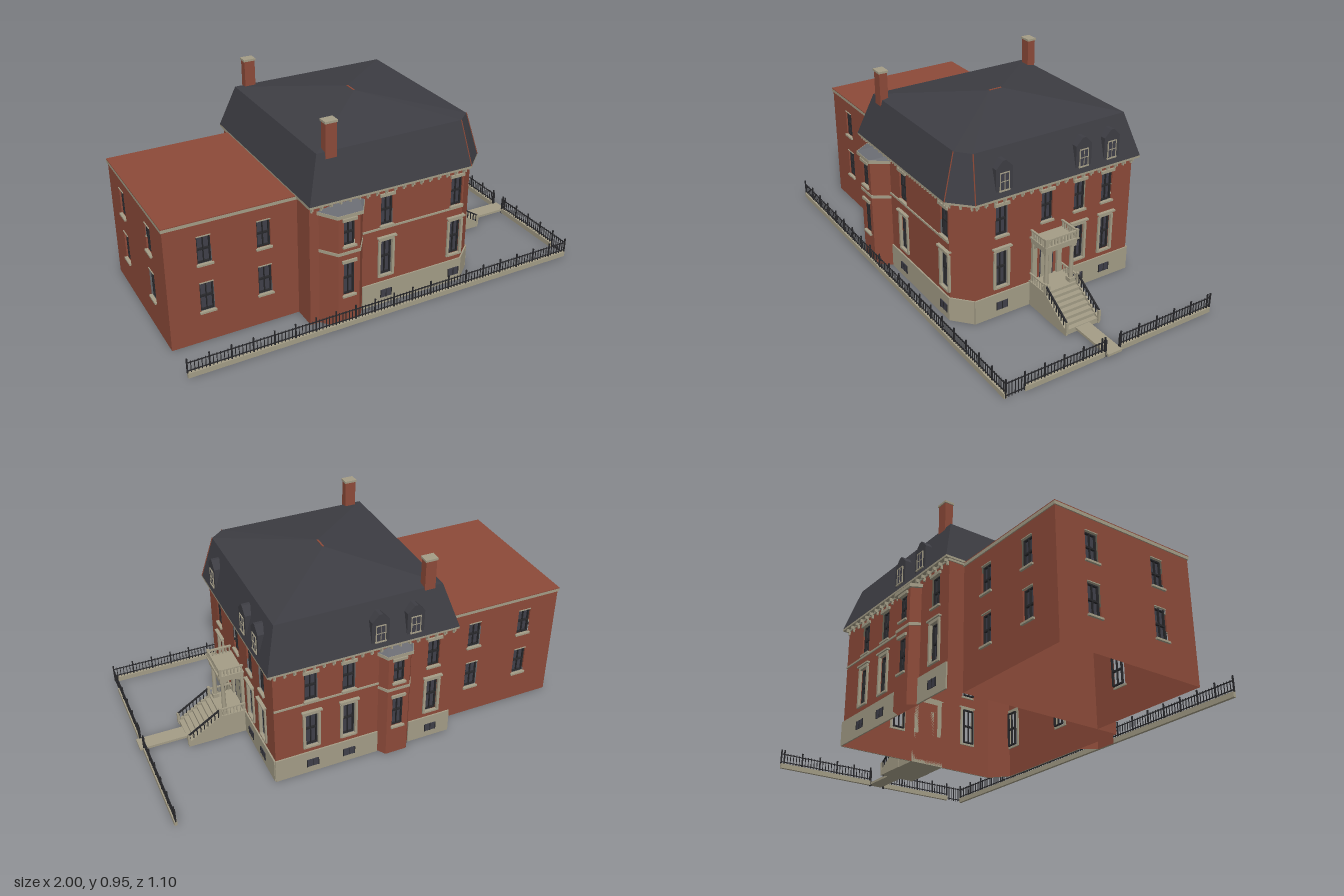
import * as THREE from 'three';
import { mergeGeometries } from 'three/addons/utils/BufferGeometryUtils.js';

const mat = (name, color, side = THREE.FrontSide) => {
  const m = new THREE.MeshStandardMaterial({ color, side });
  m.name = name;
  return m;
};

export function createModel() {
  const root = new THREE.Group();
  root.name = 'mansardHouse';
  const brick = mat('brick', 0x8c4a39, THREE.DoubleSide);
  const stone = mat('stone', 0xa39c86);
  const slate = mat('slate', 0x3d3d43);
  const glass = mat('glass', 0x3f3f49);
  const iron = mat('iron', 0x28282b);
  const lead = mat('lead', 0x6a6c72);

  const add = (parent, name, geo, m) => {
    const mesh = new THREE.Mesh(geo, m);
    mesh.name = name;
    parent.add(mesh);
    return mesh;
  };
  const boxGeo = (w, h, d, x, y, z) => new THREE.BoxGeometry(w, h, d).translate(x, y, z);
  // box given by its limits on each axis
  const span = (x0, x1, y0, y1, z0, z1) =>
    boxGeo(x1 - x0, y1 - y0, z1 - z0, (x0 + x1) / 2, (y0 + y1) / 2, (z0 + z1) / 2);
  const rect = (T, x0, x1, y0, y1) =>
    new T().moveTo(x0, y0).lineTo(x1, y0).lineTo(x1, y1).lineTo(x0, y1).closePath();
  const poly = (pts) => new THREE.Shape(pts.map(([x, y]) => new THREE.Vector2(x, y)));
  // upright prism on a plan of [x, z] points
  const prism = (plan, y0, y1) =>
    new THREE.ExtrudeGeometry(poly(plan.map(([x, z]) => [x, -z])), { depth: y1 - y0, bevelEnabled: false })
      .rotateX(-Math.PI / 2).translate(0, y0, 0);
  // sloped faces between two plans, anticlockwise seen from above
  const loft = (lower, y0, upper, y1) => {
    const p = [];
    lower.forEach((a, i) => {
      const j = (i + 1) % lower.length, b = lower[j], c = upper[j], d = upper[i];
      p.push(a[0], y0, a[1], b[0], y0, b[1], c[0], y1, c[1], a[0], y0, a[1], c[0], y1, c[1], d[0], y1, d[1]);
    });
    const g = new THREE.BufferGeometry();
    g.setAttribute('position', new THREE.Float32BufferAttribute(p, 3));
    g.computeVertexNormals();
    return g;
  };

  // window in the local frame of a wall: recessed glass, sash bars, stone dressings
  function addWindow(g, c, [y0, y1], w, style) {
    const h = y1 - y0, l = c - w / 2, r = c + w / 2;
    add(g, 'windowGlass', new THREE.PlaneGeometry(w, h).translate(c, y0 + h / 2, -0.02), glass);
    const b = 0.006, z0 = -0.018, z1 = -0.008;
    add(g, 'windowSash', mergeGeometries([
      span(l, l + b, y0, y1, z0, z1), span(r - b, r, y0, y1, z0, z1),
      span(l, r, y1 - b, y1, z0, z1), span(l, r, y0, y0 + b, z0, z1),
      span(l, r, y0 + h / 2 - 0.004, y0 + h / 2 + 0.004, z0, z1),
      span(c - 0.0015, c + 0.0015, y0, y1, z0, z1)]), iron);
    const trim = [span(l - 0.006, r + 0.006, y0 - 0.009, y0, -0.005, 0.01)];
    if (style === 'plain') trim.push(span(l, r, y1, y1 + 0.004, -0.005, 0.004));
    else trim.push(span(l - 0.008, r + 0.008, y1, y1 + 0.014, -0.005, 0.009));
    if (style === 'grand') trim.push(
      span(l - 0.012, l, y0 - 0.009, y1, -0.005, 0.008), span(r, r + 0.012, y0 - 0.009, y1, -0.005, 0.008),
      span(l - 0.018, r + 0.018, y1 + 0.014, y1 + 0.022, -0.005, 0.016));
    add(g, 'windowTrim', mergeGeometries(trim), stone);
  }

  // wall from a to b with its outside on local +z; windows as [centre, [y0, y1], width, style]
  function wall(name, a, b, top, windows = []) {
    const g = new THREE.Group();
    g.name = name;
    g.position.set(a[0], 0, a[1]);
    g.rotation.y = Math.atan2(a[1] - b[1], b[0] - a[0]);
    const len = Math.hypot(b[0] - a[0], b[1] - a[1]);
    const s = rect(THREE.Shape, 0, len, 0, top);
    for (const [c, ys, w, style] of windows) {
      s.holes.push(rect(THREE.Path, c - w / 2, c + w / 2, ys[0], ys[1]));
      addWindow(g, c, ys, w, style);
    }
    add(g, name + 'Brick', new THREE.ShapeGeometry(s), brick);
    root.add(g);
    g.userData.length = len;
    return g;
  }

  // main block
  const UP = [0.41, 0.555], LOW = [0.153, 0.332], W = 0.06;
  const plan = [[-0.39, 0.45], [0.40, 0.45], [0.485, 0.374], [0.485, -0.47], [-0.39, -0.47]];
  const pair = (c) => [[c, UP, W, 'lintel'], [c, LOW, W, 'grand']];
  const front = wall('frontWall', plan[0], plan[1], 0.6, [-0.008, 0.362].flatMap((x) => pair(x + 0.39)));
  const corner = wall('cornerWall', plan[1], plan[2], 0.6);
  const side = wall('entranceWall', plan[2], plan[3], 0.6,
    [...[0.238, -0.178, -0.332].flatMap((z) => pair(0.374 - z)), [0.374, UP, W, 'lintel']]);
  const back = wall('backWall', plan[3], plan[4], 0.6, [0.31, 0.13, -0.29].flatMap((x) => pair(0.485 - x)));
  wall('innerEndWall', plan[4], plan[0], 0.6);

  // stone foundation with basement windows, and the belt course
  const base = (g, u0, u1, centres = []) => {
    add(g, 'foundation', span(u0, u1, 0, 0.118, 0.001, 0.008), stone);
    for (const c of centres) {
      add(g, 'basementWindow', span(c - 0.028, c + 0.028, 0.035, 0.075, 0.008, 0.011), glass);
      add(g, 'basementBars', mergeGeometries([-0.028, 0, 0.028].map((o) => boxGeo(0.003, 0.04, 0.004, c + o, 0.055, 0.011))), iron);
    }
  };
  base(front, 0.26, 0.794, [0.382, 0.752]);
  base(corner, 0, corner.userData.length);
  base(side, -0.004, 0.846, [0.136, 0.552, 0.706]);
  base(back, -0.004, 0.5, [0.175, 0.355]);
  base(back, 0.66, 0.875, [0.775]);
  add(front, 'beltCourse', span(0.26, 0.79, 0.392, 0.401, 0, 0.005), stone);
  add(back, 'beltCourse', span(0, 0.5, 0.392, 0.401, 0, 0.005), stone);

  // eaves cornice with brackets
  const eave = [[-0.40, 0.478], [0.416, 0.478], [0.513, 0.385], [0.513, -0.493], [-0.40, -0.493]];
  add(root, 'cornice', prism(eave, 0.598, 0.608), stone);
  add(root, 'frieze', prism(plan.map(([x, z]) => [x + Math.sign(x) * 0.005, z + Math.sign(z) * 0.005]), 0.588, 0.598), stone);
  for (const g of [front, corner, side, back]) {
    const n = Math.round(g.userData.length / 0.047);
    const list = [];
    for (let i = 0; i <= n; i++) {
      const u = 0.008 + (g.userData.length - 0.016) * i / n;
      list.push(boxGeo(0.007, 0.016, 0.02, u, 0.59, 0.01), boxGeo(0.007, 0.014, 0.009, u, 0.576, 0.0045));
    }
    add(g, 'corniceBrackets', mergeGeometries(list), stone);
  }

  // mansard roof
  const curb = [[-0.335, 0.415], [0.39, 0.415], [0.455, 0.36], [0.455, -0.43], [-0.335, -0.43]];
  const ridge = [[0.06, 0.03], [0.06, 0.03], [0.06, 0.03], [0.06, -0.035], [0.06, -0.035]];
  add(root, 'mansardRoof', loft(eave, 0.608, curb, 0.815), slate);
  add(root, 'upperRoof', loft(curb, 0.815, ridge, 0.885), slate);
  add(root, 'ridgeCap', boxGeo(0.008, 0.003, 0.065, 0.06, 0.885, -0.003), brick);
  for (const i of [1, 2]) {
    const a = new THREE.Vector3(eave[i][0], 0.608, eave[i][1]), b = new THREE.Vector3(curb[i][0], 0.815, curb[i][1]);
    add(root, 'hipFlashing', new THREE.TubeGeometry(new THREE.LineCurve3(a, b), 1, 0.003, 5), brick);
  }

  // dormers
  function dormer(g, c, out) {
    const d = new THREE.Group();
    d.name = 'dormer';
    d.position.set(c, 0, out);
    const outline = poly([[-0.042, 0.635], [0.042, 0.635], [0.042, 0.74], [0.008, 0.775], [-0.008, 0.775], [-0.042, 0.74]]);
    add(d, 'dormerBody', new THREE.ExtrudeGeometry(outline, { depth: 0.06, bevelEnabled: false }).translate(0, 0, -0.06), slate);
    add(d, 'dormerGlass', span(-0.022, 0.022, 0.64, 0.718, 0, 0.002), glass);
    add(d, 'dormerFrame', mergeGeometries([
      span(-0.024, -0.02, 0.637, 0.72, 0, 0.004), span(0.02, 0.024, 0.637, 0.72, 0, 0.004),
      span(-0.024, 0.024, 0.717, 0.721, 0, 0.004), span(-0.027, 0.027, 0.634, 0.64, 0, 0.006),
      span(-0.02, 0.02, 0.678, 0.681, 0, 0.004), span(-0.001, 0.001, 0.64, 0.718, 0, 0.004)]), stone);
    g.add(d);
  }
  for (const z of [0.238, -0.175, -0.33]) dormer(side, 0.374 - z, 0.02);
  for (const x of [-0.01, -0.18]) dormer(back, 0.485 - x, 0.016);

  // chimneys
  for (const z of [0.404, -0.414]) {
    add(root, 'chimney', span(-0.296, -0.244, 0.7, 0.945, z - 0.02, z + 0.02), brick);
    add(root, 'chimneyCap', span(-0.3, -0.24, 0.945, 0.955, z - 0.024, z + 0.024), stone);
  }

  // three-sided bays on the front and back
  function bay(name, p, sign) {
    const grow = (d) => p.map(([x, z], i) => [x + (i < 2 ? -sign : sign) * d, z + (i % 3 ? sign * d : 0)]);
    for (let i = 0; i < 3; i++) {
      const len = Math.hypot(p[i + 1][0] - p[i][0], p[i + 1][1] - p[i][1]);
      wall(name + 'Wall', p[i], p[i + 1], 0.55, i === 1 ? [[len / 2, [0.41, 0.53], 0.055, 'lintel'], [len / 2, [0.16, 0.325], 0.055, 'lintel']] : []);
    }
    add(root, name + 'Band', prism(grow(0.003), 0.366, 0.38), stone);
    add(root, name + 'Cornice', prism(grow(0.01), 0.55, 0.566), stone);
    const rim = grow(0.008);
    add(root, name + 'Roof', loft(rim, 0.566, rim.map(([x], i) => [x + (i < 2 ? sign : -sign) * 0.025, p[0][1]]), 0.58), lead);
  }
  bay('frontBay', [[-0.345, 0.45], [-0.29, 0.525], [-0.185, 0.525], [-0.13, 0.45]], 1);
  bay('backBay', [[-0.015, -0.47], [-0.042, -0.512], [-0.148, -0.512], [-0.175, -0.47]], -1);

  // rear wing
  const wing = (cs) => cs.flatMap((c) => [[c, [0.39, 0.52], 0.064, 'plain'], [c, [0.155, 0.295], 0.064, 'plain']]);
  wall('wingFrontWall', [-0.995, 0.335], [-0.39, 0.335], 0.59, wing([0.175, 0.445]));
  wall('wingBackWall', [-0.39, -0.393], [-0.995, -0.393], 0.59, wing([0.16, 0.43]));
  wall('wingEndWall', [-0.995, -0.393], [-0.995, 0.335], 0.59, wing([0.18, 0.535]));
  add(root, 'wingCornice', span(-1, -0.39, 0.582, 0.597, -0.398, 0.34), stone);
  add(root, 'wingRoof', span(-1, -0.39, 0.597, 0.601, -0.398, 0.34), brick);

  // front door and portico
  add(root, 'door', span(0.485, 0.491, 0.125, 0.28, -0.034, 0.034), stone);
  add(root, 'doorGaps', mergeGeometries([span(0.49, 0.493, 0.258, 0.275, -0.028, 0.028),
    ...[-0.034, 0.034].map((z) => boxGeo(0.004, 0.155, 0.003, 0.491, 0.203, z))]), glass);
  add(root, 'doorLintel', span(0.485, 0.497, 0.283, 0.294, -0.045, 0.045), stone);
  add(root, 'porchFloor', span(0.485, 0.61, 0.0, 0.125, -0.09, 0.09), stone);
  add(root, 'porticoEntablature', mergeGeometries([span(0.485, 0.6, 0.322, 0.345, -0.083, 0.083),
    span(0.485, 0.607, 0.345, 0.353, -0.09, 0.09)]), stone);
  const spandrel = new THREE.Shape().moveTo(0.49, 0.27).lineTo(0.49, 0.325).lineTo(0.585, 0.325).lineTo(0.585, 0.27)
    .quadraticCurveTo(0.58, 0.31, 0.54, 0.312).quadraticCurveTo(0.497, 0.31, 0.49, 0.27);
  const rail = [];
  for (const s of [1, -1]) {
    add(root, 'porticoColumn', mergeGeometries([
      new THREE.CylinderGeometry(0.009, 0.011, 0.2, 16).translate(0.585, 0.225, s * 0.068),
      boxGeo(0.03, 0.02, 0.03, 0.585, 0.135, s * 0.068), boxGeo(0.028, 0.012, 0.028, 0.585, 0.317, s * 0.068),
      boxGeo(0.014, 0.2, 0.024, 0.492, 0.225, s * 0.068)]), stone);
    add(root, 'porticoArch', new THREE.ExtrudeGeometry(spandrel, { depth: 0.012, bevelEnabled: false }).translate(0, 0, s * 0.068 - 0.006), stone);
    // roof balustrade and porch rail along the sides
    rail.push(span(0.487, 0.604, 0.382, 0.389, s * 0.083 - 0.005, s * 0.083 + 0.005));
    rail.push(span(0.487, 0.605, 0.16, 0.166, s * 0.085 - 0.004, s * 0.085 + 0.004));
    for (let i = 0; i < 7; i++) {
      rail.push(boxGeo(0.006, 0.032, 0.006, 0.495 + i * 0.0165, 0.367, s * 0.083));
      rail.push(boxGeo(0.004, 0.036, 0.004, 0.495 + i * 0.0165, 0.143, s * 0.085));
    }
    rail.push(boxGeo(0.013, 0.042, 0.013, 0.598, 0.373, s * 0.083), boxGeo(0.012, 0.05, 0.012, 0.612, 0.15, s * 0.087));
  }
  rail.push(span(0.593, 0.603, 0.382, 0.389, -0.085, 0.085));
  for (let i = -4; i <= 4; i++) rail.push(boxGeo(0.006, 0.032, 0.008, 0.598, 0.367, i * 0.0175));
  add(root, 'porticoRailing', mergeGeometries(rail), stone);

  // stairs with cheek walls and sloping rails
  const steps = [], N = 7, run = 0.16 / N;
  for (let i = 0; i < N; i++) steps.push(span(0.61 + i * run, 0.61 + (i + 1) * run, 0, 0.112 - i * 0.0145, -0.083, 0.083));
  add(root, 'stairs', mergeGeometries(steps), stone);
  const cheek = poly([[0.605, 0], [0.775, 0], [0.775, 0.025], [0.61, 0.13], [0.605, 0.13]]);
  for (const s of [1, -1]) {
    add(root, 'stairCheek', new THREE.ExtrudeGeometry(cheek, { depth: 0.01, bevelEnabled: false }).translate(0, 0, s * 0.088 - 0.005), stone);
    const bars = [new THREE.BoxGeometry(0.196, 0.006, 0.008).rotateZ(-0.567).translate(0.693, 0.115, s * 0.088)];
    for (let i = 0; i < 9; i++) bars.push(boxGeo(0.004, 0.04, 0.004, 0.622 + i * 0.018, 0.14 - i * 0.0115, s * 0.088));
    add(root, 'stairRail', mergeGeometries(bars), iron);
    add(root, 'newelPost', boxGeo(0.012, 0.055, 0.012, 0.772, 0.04, s * 0.088), stone);
  }
  add(root, 'path', span(0.77, 0.995, 0.01, 0.022, -0.037, 0.037), stone);

  // boundary fence: stone kerb, rails, pickets and taller posts
  function fence(name, a, b, kerb = true) {
    const len = Math.hypot(b[0] - a[0], b[1] - a[1]), y0 = kerb ? 0.028 : 0.008;
    const g = new THREE.Group();
    g.name = name;
    g.position.set(a[0], 0, a[1]);
    g.rotation.y = Math.atan2(a[1] - b[1], b[0] - a[0]);
    if (kerb) add(g, 'fenceKerb', span(0, len, 0.004, 0.028, -0.007, 0.007), stone);
    const parts = [boxGeo(len, 0.004, 0.004, len / 2, 0.078, 0), boxGeo(len, 0.004, 0.004, len / 2, y0 + 0.01, 0)];
    const n = Math.round(len / 0.0165);
    for (let i = 0; i <= n; i++) {
      const post = i % 6 === 0 || i === n, h = (post ? 0.1 : 0.084) - y0;
      parts.push(boxGeo(post ? 0.006 : 0.003, h, post ? 0.006 : 0.003, len * i / n, y0 + h / 2, 0));
    }
    add(g, 'fenceIron', mergeGeometries(parts), iron);
    root.add(g);
  }
  fence('frontFence', [-1, 0.538], [0.975, 0.538]);
  fence('sideFenceNear', [0.975, 0.447], [0.975, 0.042]);
  fence('sideFenceFar', [0.975, -0.042], [0.975, -0.553]);
  fence('sideGate', [0.975, 0.538], [0.975, 0.447], false);
  for (const s of [1, -1]) add(root, 'gatePost', boxGeo(0.01, 0.085, 0.01, 0.975, 0.043, s * 0.04), iron);
  return root;
}
